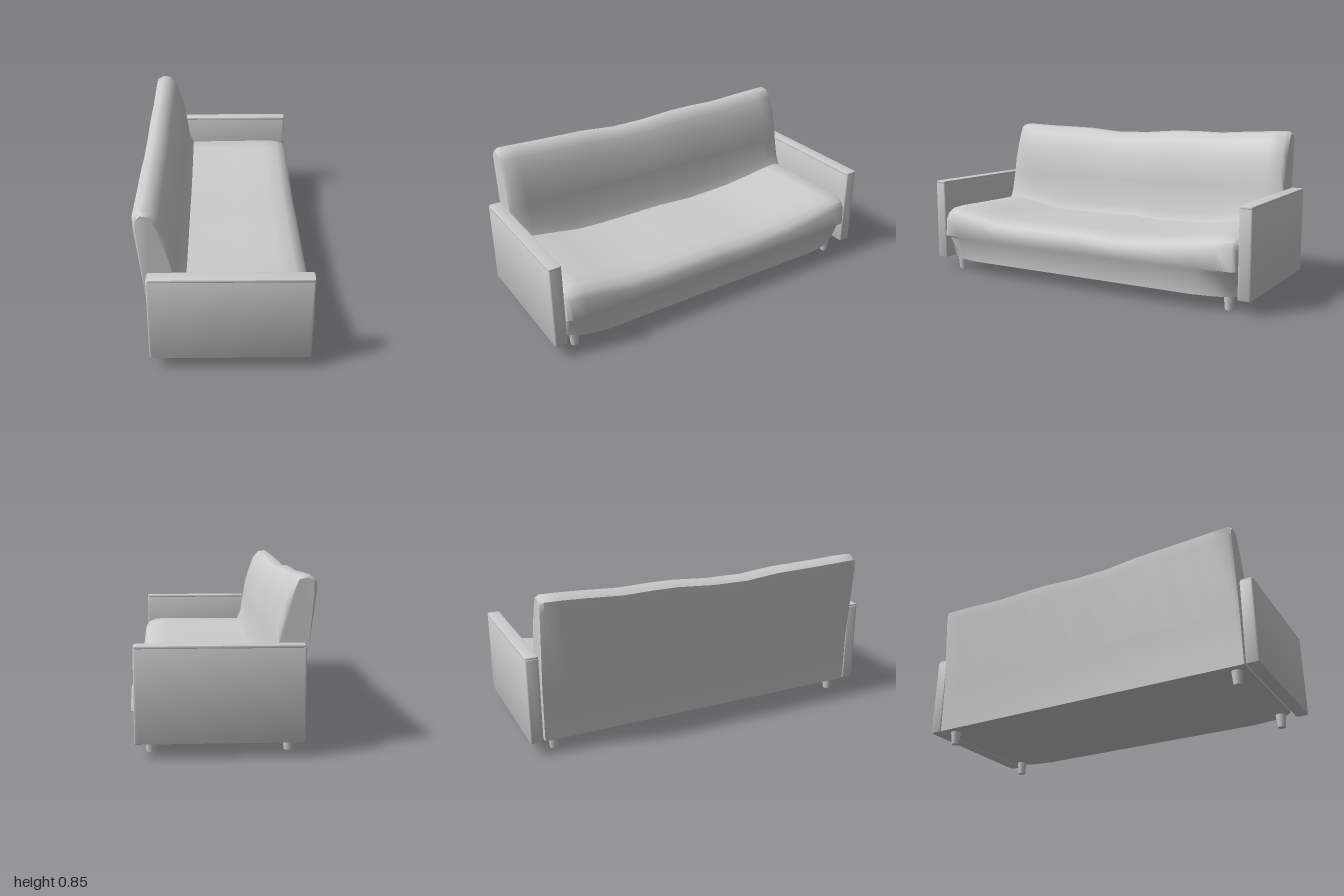
import * as THREE from 'three';
import { toCreasedNormals } from 'three/addons/utils/BufferGeometryUtils.js';

const upholstery = new THREE.MeshStandardMaterial({ color: 0xcccccc });
upholstery.name = 'grey upholstery';

// Stations along the sofa: z, height of back, height of seat, edge inset, lower front tuck
const stations = [
  [-0.925, 0.845, 0.375, 0.014, 0.08], [-0.905, 0.845, 0.375, 0, 0.065], [-0.82, 0.843, 0.37, 0, 0.02],
  [-0.7, 0.838, 0.352, 0, 0], [-0.5, 0.826, 0.326, 0, 0], [-0.35, 0.83, 0.318, 0, 0],
  [-0.2, 0.829, 0.313, 0, 0], [0, 0.814, 0.325, 0, 0], [0.2, 0.812, 0.322, 0, 0],
  [0.4, 0.83, 0.322, 0, 0], [0.55, 0.834, 0.328, 0, 0], [0.7, 0.838, 0.352, 0, 0],
  [0.82, 0.843, 0.37, 0, 0.02], [0.905, 0.845, 0.375, 0, 0.065], [0.925, 0.845, 0.375, 0.014, 0.08],
];

// Side profile of back and seat, clockwise from the rear bottom edge
function profile([, top, seat, inset, tuck]) {
  const t = top - inset, s = seat - inset, r = -0.433 + inset, f = 0.43 - inset;
  return [
    [-0.38, 0.072], [-0.385, 0.36], [r, t - 0.075], [r, t - 0.025], [-0.395, t], [-0.35, t - 0.007],
    [-0.315 - inset, t - 0.05], [-0.285 - inset, t - 0.13], [-0.26 - inset, t - 0.215],
    [-0.245 - inset, 0.53], [-0.23, s + 0.05], [-0.205, s - 0.005], [-0.1, s - 0.005],
    [0.1, s - 0.003], [0.28, s], [0.36, s - 0.004], [f - 0.025, s - 0.025], [f - 0.005, s - 0.055],
    [f, 0.21], [f - 0.01 - tuck * 0.3, 0.195], [f - 0.012 - tuck, 0.072],
  ];
}

// Skin the profiles along z and close both ends
function makeBody() {
  const rings = stations.map(profile), n = rings[0].length, pos = [];
  const put = (s, i) => pos.push(rings[s][i][0], rings[s][i][1], stations[s][0]);
  for (let s = 0; s < rings.length - 1; s++) {
    for (let i = 0; i < n; i++) {
      const j = (i + 1) % n;
      put(s, i); put(s + 1, i); put(s, j);
      put(s, j); put(s + 1, i); put(s + 1, j);
    }
  }
  for (const s of [0, rings.length - 1]) {
    const pts = rings[s].map(([x, y]) => new THREE.Vector2(x, y));
    for (const [a, b, c] of THREE.ShapeUtils.triangulateShape(pts, [])) {
      const ccw = THREE.ShapeUtils.area([pts[a], pts[b], pts[c]]) > 0;
      const order = ccw === (s > 0) ? [a, b, c] : [a, c, b];
      order.forEach((i) => put(s, i));
    }
  }
  const geo = new THREE.BufferGeometry();
  geo.setAttribute('position', new THREE.Float32BufferAttribute(pos, 3));
  return toCreasedNormals(geo, 0.95);
}

// Upright slab with a softened plan outline and small bevels above and below
function slab(x0, x1, depth, y0, y1, bevel) {
  const w = (x1 - x0) / 2 - bevel, d = depth / 2 - bevel, c = 0.008;
  const shape = new THREE.Shape();
  shape.moveTo(-w + c, -d);
  shape.lineTo(w - c, -d);
  shape.quadraticCurveTo(w, -d, w, -d + c);
  shape.lineTo(w, d - c);
  shape.quadraticCurveTo(w, d, w - c, d);
  shape.lineTo(-w + c, d);
  shape.quadraticCurveTo(-w, d, -w, d - c);
  shape.lineTo(-w, -d + c);
  shape.quadraticCurveTo(-w, -d, -w + c, -d);
  const geo = new THREE.ExtrudeGeometry(shape, {
    depth: y1 - y0 - 2 * bevel, bevelEnabled: true, bevelSize: bevel,
    bevelThickness: bevel, bevelSegments: 2, curveSegments: 3,
  });
  geo.rotateX(-Math.PI / 2).translate((x0 + x1) / 2, y0 + bevel, 0);
  return toCreasedNormals(geo, 0.6);
}

export function createModel() {
  const sofa = new THREE.Group();
  sofa.name = 'sofa';
  const add = (name, geo, x = 0, y = 0, z = 0) => {
    const mesh = new THREE.Mesh(geo, upholstery);
    mesh.name = name;
    mesh.position.set(x, y, z);
    sofa.add(mesh);
  };

  add('seatAndBack', makeBody());

  // Arm panels with a thin cap, and tapered feet at the corners
  const panel = slab(-0.38, 0.413, 0.068, 0.072, 0.522, 0.004);
  const cap = slab(-0.376, 0.413, 0.068, 0.515, 0.533, 0.005);
  const foot = new THREE.CylinderGeometry(0.029, 0.021, 0.08, 12);
  for (const side of [-1, 1]) {
    add('armPanel', panel, 0, 0, side * 0.966);
    add('armCap', cap, 0, 0, side * 0.966);
    add('rearFoot', foot, -0.317, 0.04, side * 0.865);
    add('frontFoot', foot, 0.341, 0.04, side * 0.865);
  }
  return sofa;
}
